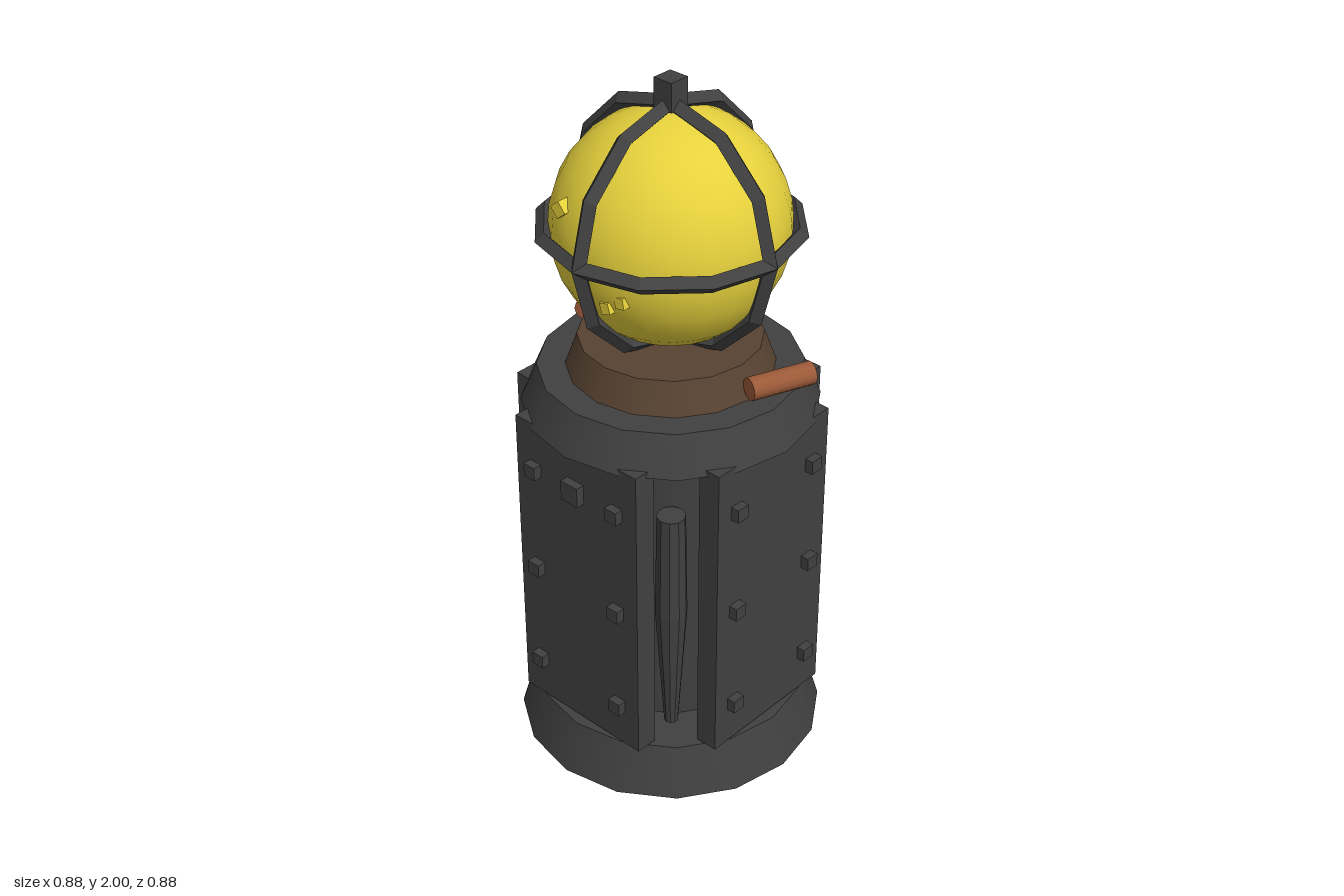
import * as THREE from 'three';

const mat = (name, color) => {
  const m = new THREE.MeshStandardMaterial({ color });
  m.name = name;
  return m;
};

export function createModel() {
  const root = new THREE.Group();
  root.name = 'lantern';
  const iron = mat('dark iron', 0x404040);
  const bronze = mat('dark bronze', 0x584332);
  const copper = mat('copper', 0x9c5a39);
  const glow = mat('yellow glass', 0xe6d13c);

  const add = (name, geo, material, x = 0, y = 0, z = 0, parent = root) => {
    const m = new THREE.Mesh(geo, material);
    m.name = name;
    m.position.set(x, y, z);
    parent.add(m);
    return m;
  };
  const box = (w, h, d) => new THREE.BoxGeometry(w, h, d);
  // Upright drum between two heights
  const drum = (name, rTop, rBottom, y0, y1, material) =>
    add(name, new THREE.CylinderGeometry(rTop, rBottom, y1 - y0, 16), material, 0, (y0 + y1) / 2);
  // Hard facets without a second material
  const faceted = (geo) => {
    const g = geo.toNonIndexed();
    g.computeVertexNormals();
    return g;
  };

  // Body drums
  drum('base', 0.395, 0.44, 0, 0.15, iron);
  drum('core', 0.25, 0.25, 0.14, 1.08, iron);
  drum('collar', 0.36, 0.407, 1.07, 1.18, iron);
  drum('neck', 0.25, 0.287, 1.17, 1.27, bronze);

  // Four armour panels with rows of rivets
  for (let i = 0; i < 4; i++) {
    const side = new THREE.Group();
    side.name = 'panelSide';
    side.rotation.y = (i * Math.PI) / 2;
    root.add(side);
    add('panel', box(0.44, 0.925, 0.067), iron, 0, 0.6225, 0.3365, side);
    for (const x of [-0.15, 0.15])
      for (const y of [0.295, 0.62, 0.945])
        add('rivet', box(0.04, 0.04, 0.04), iron, x, y, 0.375, side);
    if (i === 0) add('frontStud', box(0.06, 0.06, 0.04), iron, 0, 0.945, 0.375, side);
  }

  // Tapered rods in the corner gaps
  const rodProfile = [[0, 0.17], [0.02, 0.17], [0.045, 0.56], [0.04, 0.88], [0, 0.88]]
    .map(([r, y]) => new THREE.Vector2(r, y));
  const rodGeo = faceted(new THREE.LatheGeometry(rodProfile, 10));
  for (const [x, z] of [[0.2, 0.215], [0.2, -0.2], [-0.2, -0.2], [-0.2, 0.2]])
    add('cornerRod', rodGeo, iron, x, 0, z);

  // Copper handles on both sides of the neck
  for (const s of [-1, 1]) {
    const h = add('handle', new THREE.CylinderGeometry(0.032, 0.032, 0.185, 12), copper, s * 0.33, 1.227, -0.062);
    h.rotation.set(Math.PI / 2, 0, s * 0.365);
  }

  // Globe with small raised chips
  const globeY = 1.595;
  add('globe', new THREE.SphereGeometry(0.317, 24, 16), glow, 0, globeY, 0);
  const chips = [[-0.11, 0.11, 0.277, 0.036, 0.7], [0.055, -0.105, 0.285, 0.03, 0.3], [0.1, -0.075, 0.28, 0.03, 0.2]];
  for (const [x, y, z, size, turn] of chips)
    add('globeChip', box(size, size, 0.036), glow, x, globeY + y, z).rotation.z = turn;

  // Cage of three crossing hoops
  const hoop = faceted(new THREE.TorusGeometry(0.336, 0.024, 4, 12));
  for (const [name, rx, ry] of [['frontHoop', 0, 0], ['sideHoop', 0, Math.PI / 2], ['levelHoop', Math.PI / 2, 0]])
    add(name, hoop, iron, 0, globeY, 0).rotation.set(rx, ry, 0);
  add('topKnob', box(0.06, 0.08, 0.06), iron, 0, 1.96, 0);

  return root;
}
